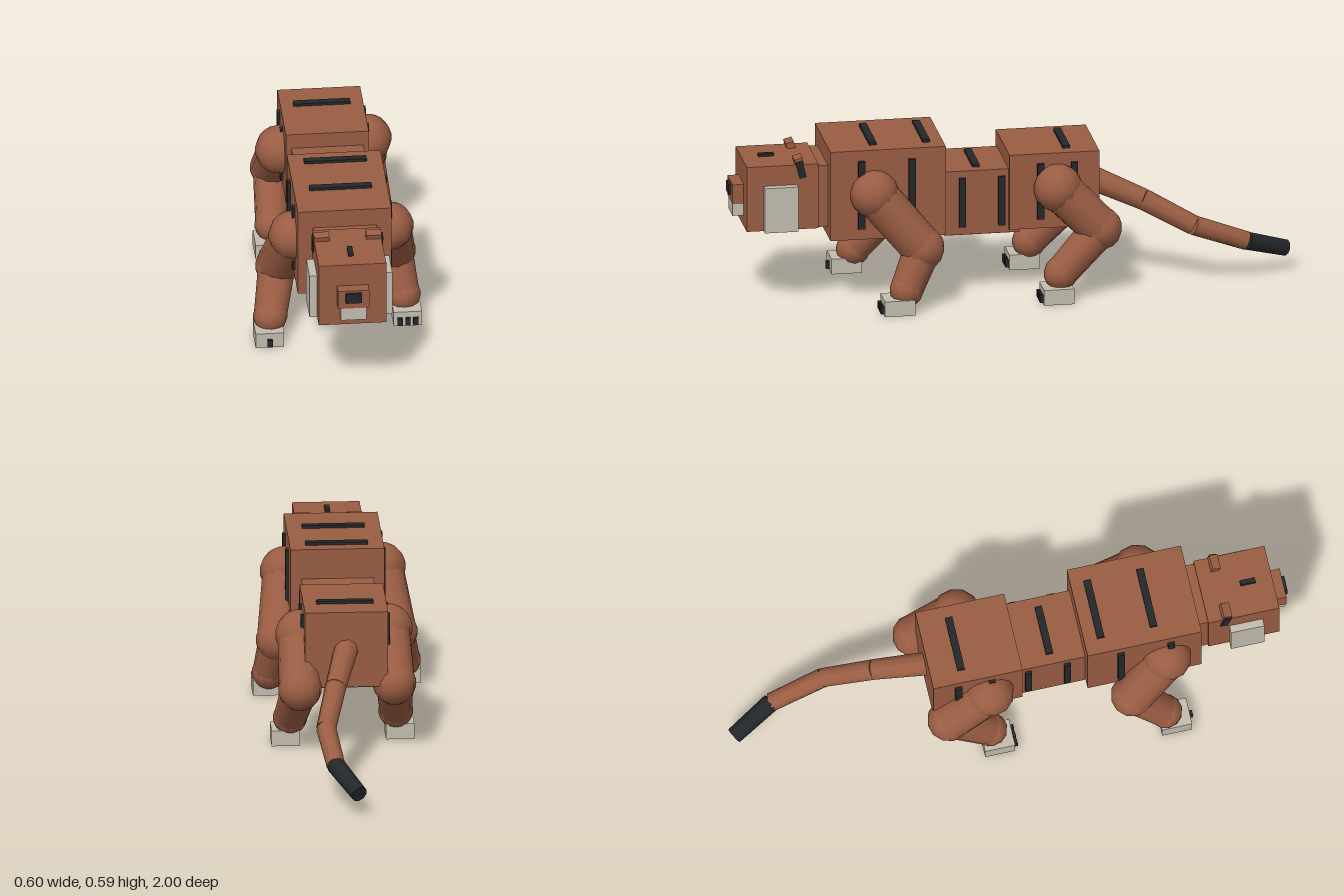
import * as THREE from 'three';

const mat = (color) => new THREE.MeshStandardMaterial({ color });
const FUR = mat(0x9a5d43), PALE = mat(0xc4beb0), DARK = mat(0x24272a);
const CX = 0.008; // spine line

export function createModel() {
  const root = new THREE.Group();
  root.name = 'stripedBigCat';

  // Box given by its minimum and maximum on each axis
  function box(name, material, [x0, x1], [y0, y1], [z0, z1], parent = root) {
    const mesh = new THREE.Mesh(new THREE.BoxGeometry(x1 - x0, y1 - y0, z1 - z0), material);
    mesh.position.set((x0 + x1) / 2, (y0 + y1) / 2, (z0 + z1) / 2);
    mesh.name = name;
    parent.add(mesh);
    return mesh;
  }
  const centred = (half) => [CX - half, CX + half];
  const around = (c, size) => [c - size / 2, c + size / 2];

  function ball(name, p, r, parent) {
    const mesh = new THREE.Mesh(new THREE.SphereGeometry(r, 12, 9), FUR);
    mesh.position.copy(p);
    mesh.name = name;
    parent.add(mesh);
  }

  // Tapered limb between two points
  function limb(name, a, b, ra, rb, material, parent, sides = 12) {
    const dir = b.clone().sub(a);
    const mesh = new THREE.Mesh(new THREE.CylinderGeometry(rb, ra, dir.length(), sides), material);
    mesh.position.copy(a).add(b).multiplyScalar(0.5);
    mesh.quaternion.setFromUnitVectors(new THREE.Vector3(0, 1, 0), dir.normalize());
    mesh.name = name;
    parent.add(mesh);
  }

  // Torso blocks, each with its stripes and belly panel
  const torso = [
    { name: 'chest', w: 0.165, y: [0.25, 0.578], z: [0.25, 0.66], top: [0.31, 0.5], topW: 0.11,
      side: [0.37, 0.55], sideY: [0.29, 0.54], bellyW: 0.128 },
    { name: 'waist', w: 0.127, y: [0.235, 0.47], z: [-0.02, 0.25], top: [0.13], topW: 0.09,
      side: [0.045, 0.185], sideY: [0.265, 0.445], bellyW: 0.108 },
    { name: 'hips', w: 0.146, y: [0.25, 0.525], z: [-0.3, 0.02], top: [-0.19], topW: 0.1,
      side: [-0.21, -0.09], sideY: [0.285, 0.49], bellyW: 0.115 },
  ];
  for (const t of torso) {
    box(t.name, FUR, centred(t.w), t.y, t.z);
    box(t.name + 'Belly', PALE, centred(t.bellyW), [t.y[0] - 0.007, t.y[0] + 0.005],
      [t.z[0] + 0.015, t.z[1] - 0.015]);
    for (const z of t.top)
      box(t.name + 'TopStripe', DARK, centred(t.topW), [t.y[1] - 0.005, t.y[1] + 0.01], around(z, 0.026));
    for (const z of t.side) for (const s of [-1, 1])
      box(t.name + 'SideStripe', DARK, around(CX + s * (t.w + 0.003), 0.015), t.sideY, around(z, 0.024));
  }

  // Neck and head
  const head = new THREE.Group();
  head.name = 'head';
  root.add(head);
  box('neck', FUR, centred(0.112), [0.287, 0.513], [0.64, 0.71], head);
  box('skull', FUR, centred(0.119), [0.285, 0.523], [0.695, 0.95], head);
  box('muzzle', FUR, centred(0.055), [0.37, 0.44], [0.93, 0.99], head);
  box('chin', PALE, centred(0.045), [0.322, 0.371], [0.93, 0.988], head);
  box('nose', DARK, centred(0.028), [0.395, 0.432], [0.97, 1], head);
  box('throat', PALE, centred(0.08), [0.282, 0.29], [0.73, 0.92], head);
  box('browStripe', DARK, centred(0.009), [0.515, 0.533], [0.835, 0.89], head);
  for (const s of [-1, 1]) {
    box('cheek', PALE, around(CX + s * 0.132, 0.028), [0.285, 0.45], [0.77, 0.89], head);
    const ear = box('ear', FUR, around(CX + s * 0.092, 0.054), [0.495, 0.545], [0.745, 0.775], head);
    ear.rotation.x = 0.25;
    const stripe = box('templeStripe', DARK, around(CX + s * 0.121, 0.008), [0.475, 0.535],
      [0.745, 0.77], head);
    stripe.rotation.x = 0.25;
  }

  // Legs: joint positions as x, y, z; foot as x, z centre
  const legs = [
    { name: 'frontLeft', top: [0.18, 0.418, 0.505], mid: [0.213, 0.22, 0.338], low: [0.24, 0.08, 0.4],
      foot: [0.247, 0.433], claws: [-0.028, 0, 0.028] },
    { name: 'frontRight', top: [-0.163, 0.418, 0.535], mid: [-0.206, 0.22, 0.4], low: [-0.24, 0.08, 0.51],
      foot: [-0.249, 0.54], claws: [0] },
    { name: 'backLeft', top: [0.165, 0.4, -0.15], mid: [0.172, 0.245, -0.3], low: [0.198, 0.095, -0.155],
      foot: [0.215, -0.138], claws: [-0.028, 0, 0.028] },
    { name: 'backRight', top: [-0.15, 0.4, -0.1], mid: [-0.163, 0.245, -0.25], low: [-0.176, 0.095, -0.105],
      foot: [-0.19, -0.083], claws: [-0.028, 0, 0.028] },
  ];
  for (const l of legs) {
    const g = new THREE.Group();
    g.name = l.name + 'Leg';
    root.add(g);
    const [a, b, c] = [l.top, l.mid, l.low].map((p) => new THREE.Vector3(...p));
    ball('upperJoint', a, 0.086, g);
    limb('upperLeg', a, b, 0.077, 0.074, FUR, g);
    ball('middleJoint', b, 0.077, g);
    limb('lowerLeg', b, c, 0.066, 0.058, FUR, g);
    ball('ankle', c, 0.061, g);
    const [fx, fz] = l.foot;
    box('paw', PALE, around(fx, 0.1), [0, 0.056], around(fz, 0.108), g);
    for (const dx of l.claws)
      box('claw', DARK, around(fx + dx, 0.018), [0.007, 0.034], [fz + 0.045, fz + 0.066], g);
  }

  // Tail in curving segments with a dark tip
  const tail = new THREE.Group();
  tail.name = 'tail';
  root.add(tail);
  const path = [[0.005, 0.39, -0.27], [0.057, 0.305, -0.47], [0.1, 0.212, -0.645],
    [0.077, 0.137, -0.835], [0.004, 0.079, -0.985]].map((p) => new THREE.Vector3(...p));
  const radii = [0.044, 0.038, 0.035, 0.033, 0.03];
  for (let i = 0; i < 4; i++)
    limb(i < 3 ? 'tailSegment' : 'tailTip', path[i], path[i + 1], radii[i], radii[i + 1],
      i < 3 ? FUR : DARK, tail, 10);

  return root;
}
